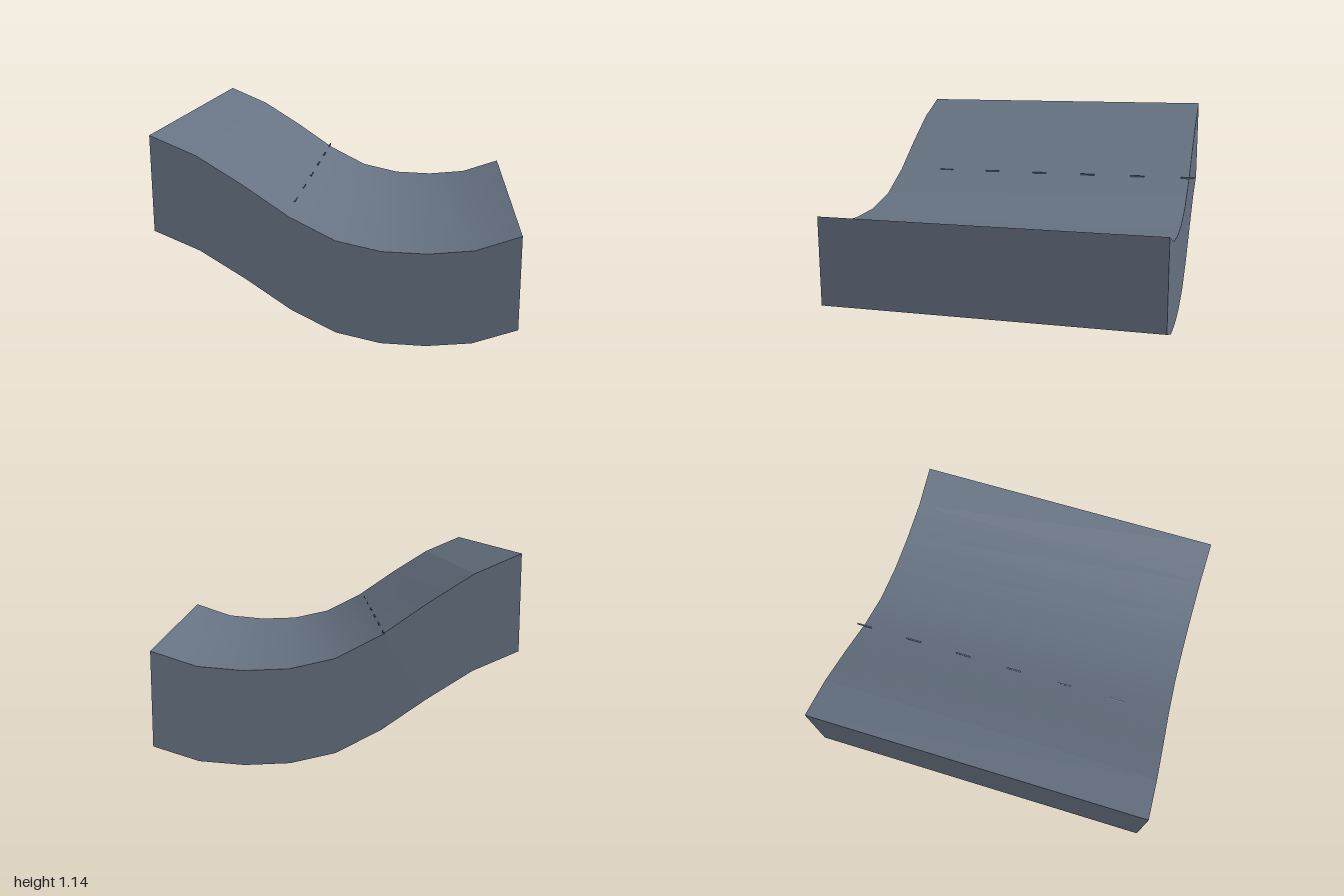
import * as THREE from 'three';

const FRONT = 1, BACK = -0.96, DEPTH = 0.52;
// lower outline of the curved slab, evenly spaced in x
const HEIGHTS = [0.612, 0.508, 0.355, 0.187, 0.063, 0.01, 0.003, 0.028, 0.113];
const LAST = HEIGHTS.length - 1;

// point on the slab; the back edge is very slightly rolled
function point(i, z, rise) {
  const x = -0.977 + (1.954 * i) / LAST;
  const roll = (0.004 - 0.006 * x) * (FRONT - z) / (FRONT - BACK);
  return [x, HEIGHTS[i] + rise + roll, z];
}

// sheet between two rows of points, smooth along its length
function sheet(rowA, rowB) {
  const positions = [], index = [];
  rowA.forEach((p, i) => {
    positions.push(...p, ...rowB[i]);
    if (i) {
      const k = 2 * i;
      index.push(k - 2, k, k - 1, k - 1, k, k + 1);
    }
  });
  const geometry = new THREE.BufferGeometry();
  geometry.setAttribute('position', new THREE.Float32BufferAttribute(positions, 3));
  geometry.setIndex(index);
  geometry.computeVertexNormals();
  return geometry;
}

function row(from, to, z, rise) {
  const points = [];
  for (let i = from; i <= to; i++) points.push(point(i, z, rise));
  return points;
}

export function createModel() {
  const group = new THREE.Group();
  const slate = new THREE.MeshStandardMaterial({ color: 0x677383, side: THREE.DoubleSide });
  slate.name = 'slate';

  const add = (name, geometry) => {
    const mesh = new THREE.Mesh(geometry, slate);
    mesh.name = name;
    group.add(mesh);
    return mesh;
  };

  // curved top, with a crease beside the upper strip
  add('upperStrip', sheet(row(0, 1, FRONT, DEPTH), row(0, 1, BACK, DEPTH)));
  add('curvedTop', sheet(row(1, LAST, FRONT, DEPTH), row(1, LAST, BACK, DEPTH)));

  // four walls, open underneath
  add('frontWall', sheet(row(0, LAST, FRONT, 0), row(0, LAST, FRONT, DEPTH)));
  add('backWall', sheet(row(0, LAST, BACK, DEPTH), row(0, LAST, BACK, 0)));
  const end = (i, z) => [point(i, z, 0), point(i, z, DEPTH)];
  add('leftWall', sheet(end(LAST, BACK).reverse(), end(LAST, FRONT).reverse()));
  add('rightWall', sheet(end(0, FRONT).reverse(), end(0, BACK).reverse()));

  // row of dashes along the slope, the last one overhanging the back
  for (let i = 0; i < 6; i++) {
    const dash = add('dash', new THREE.BoxGeometry(0.008, 0.009, 0.092));
    dash.position.set(-0.26 + i * 0.001, 0.717 + i * 0.002, 0.674 - i * 0.3256);
  }
  return group;
}
